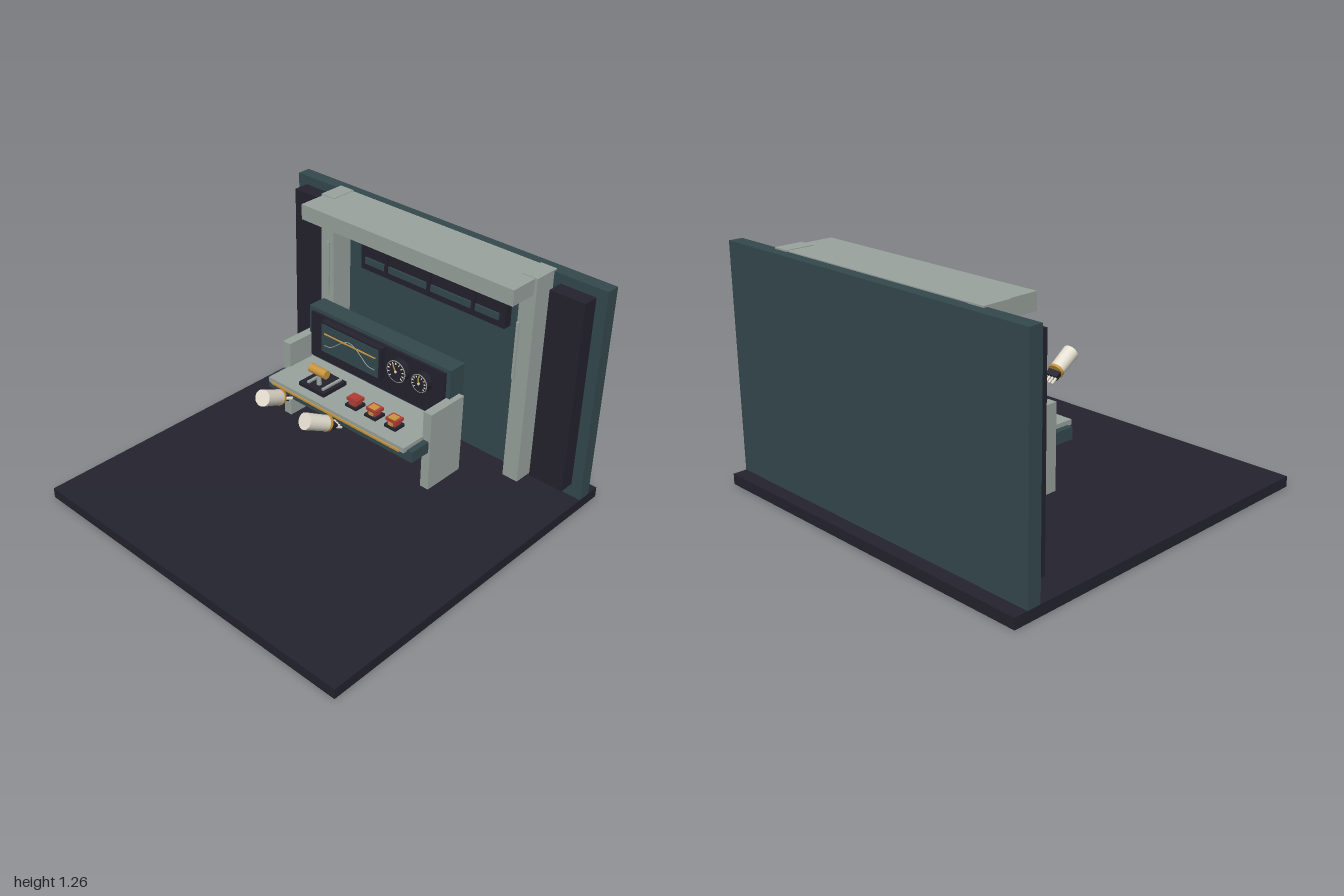
import * as THREE from 'three';

const paint = (name, color) => {
  const m = new THREE.MeshStandardMaterial({ color });
  m.name = name;
  return m;
};

export function createModel() {
  const root = new THREE.Group();
  root.name = 'controlRoom';
  const dark = paint('charcoal', 0x24232e);
  const teal = paint('deepTeal', 0x34494e);
  const grey = paint('paleGrey', 0x9aa39e);
  const amber = paint('amber', 0xc9963f);
  const red = paint('red', 0xb23e34);
  const cream = paint('cream', 0xe4dfd0);

  const add = (name, geo, mat, parent = root) => {
    const mesh = new THREE.Mesh(geo, mat);
    mesh.name = name;
    parent.add(mesh);
    return mesh;
  };
  // Box from its minimum and maximum on each axis
  const box = (name, mat, x0, x1, y0, y1, z0, z1, parent = root) => {
    const mesh = add(name, new THREE.BoxGeometry(x1 - x0, y1 - y0, z1 - z0), mat, parent);
    mesh.position.set((x0 + x1) / 2, (y0 + y1) / 2, (z0 + z1) / 2);
    return mesh;
  };
  // Left and right copies of a box
  const pair = (name, mat, x0, x1, ...rest) => {
    box(name + 'Left', mat, x0, x1, ...rest);
    box(name + 'Right', mat, -x1, -x0, ...rest);
  };

  // Room shell
  box('floor', dark, -1, 1, 0, 0.057, -0.975, 0.975);
  box('backWall', teal, -1, 1, 0.057, 1.25, -0.9, -0.825);
  pair('sidePanel', dark, 0.74, 0.94, 0.13, 1.2, -0.83, -0.737);
  pair('pillar', grey, 0.608, 0.7, 0.09, 1.258, -0.845, -0.692);
  pair('pillarStrip', grey, 0.62, 0.636, 0.69, 1.01, -0.675, -0.667);
  box('lintel', grey, -0.685, 0.685, 1.17, 1.255, -0.84, -0.53);

  // Wall window with bars
  box('windowPanel', dark, -0.48, 0.48, 0.87, 1.138, -0.83, -0.775);
  box('windowRail', teal, -0.445, 0.445, 0.91, 0.947, -0.78, -0.765);
  for (const x of [-0.29, 0, 0.29]) box('windowBar', dark, x - 0.009, x + 0.009, 0.89, 1.11, -0.78, -0.755);

  // Console body
  pair('consoleSide', grey, 0.455, 0.505, 0.2, 0.64, -0.45, -0.207);
  box('consoleBase', teal, -0.495, 0.495, 0.42, 0.482, -0.475, -0.085);
  box('desktop', grey, -0.463, 0.463, 0.475, 0.503, -0.45, -0.058);
  box('deskTrim', amber, -0.44, 0.44, 0.474, 0.485, -0.06, -0.051);
  box('consoleCabinet', teal, -0.475, 0.475, 0.5, 0.8, -0.48, -0.375);
  box('instrumentPanel', dark, -0.45, 0.45, 0.52, 0.78, -0.38, -0.36);

  // Screen with an amber line and a bell curve
  box('screenBezel', dark, -0.345, 0.07, 0.595, 0.775, -0.362, -0.322);
  box('screen', teal, -0.335, 0.058, 0.605, 0.765, -0.324, -0.318);
  box('screenLine', amber, -0.312, 0.04, 0.712, 0.718, -0.319, -0.312);
  const bell = [[-0.312, 0.645], [-0.27, 0.65], [-0.22, 0.685], [-0.18, 0.715], [-0.138, 0.73],
    [-0.095, 0.715], [-0.055, 0.685], [-0.01, 0.65], [0.04, 0.645]];
  const path = new THREE.CatmullRomCurve3(bell.map(([x, y]) => new THREE.Vector3(x, y, -0.316)));
  add('screenCurve', new THREE.TubeGeometry(path, 40, 0.0025, 5), grey);

  // Round gauges facing forward
  const gauge = (x, y, r, angle) => {
    const g = new THREE.Group();
    g.name = 'gauge';
    g.position.set(x, y, -0.34);
    root.add(g);
    const body = add('gaugeFace', new THREE.CylinderGeometry(r, r, 0.04, 28), dark, g);
    body.rotation.x = Math.PI / 2;
    add('gaugeRim', new THREE.TorusGeometry(r - 0.002, 0.003, 6, 32), grey, g).position.z = 0.018;
    for (let i = 0; i < 11; i++) {
      const a = -0.7 + (i / 10) * (Math.PI + 1.4);
      const tick = add('gaugeTick', new THREE.BoxGeometry(r * 0.2, 0.005, 0.004), cream, g);
      tick.position.set(Math.cos(a) * r * 0.78, Math.sin(a) * r * 0.78, 0.021);
      tick.rotation.z = a;
    }
    const needle = add('gaugeNeedle', new THREE.BoxGeometry(0.006, r * 0.7, 0.004), amber, g);
    needle.position.set(-Math.sin(angle) * r * 0.3, Math.cos(angle) * r * 0.3, 0.022);
    needle.rotation.z = angle;
    const hub = add('gaugeHub', new THREE.CylinderGeometry(0.007, 0.007, 0.006, 12), cream, g);
    hub.rotation.x = Math.PI / 2;
    hub.position.z = 0.022;
  };
  gauge(0.175, 0.693, 0.06, 0.5);
  gauge(0.325, 0.69, 0.05, 0.1);

  // Throttle lever between two rails
  box('leverBase', dark, -0.295, -0.12, 0.5, 0.525, -0.28, -0.112);
  for (const x of [-0.251, -0.148]) box('leverRail', grey, x - 0.007, x + 0.007, 0.52, 0.535, -0.268, -0.132);
  add('leverStem', new THREE.CylinderGeometry(0.011, 0.014, 0.075, 14), grey).position.set(-0.203, 0.56, -0.165);
  const grip = add('leverGrip', new THREE.CylinderGeometry(0.024, 0.024, 0.11, 20), amber);
  grip.rotation.z = Math.PI / 2;
  grip.position.set(-0.203, 0.602, -0.165);

  // Guarded switches
  [0.045, 0.175, 0.305].forEach((x, i) => {
    box('switchBase', dark, x - 0.037, x + 0.037, 0.5, 0.518, -0.205, -0.135);
    box('switchBody', red, x - 0.024, x + 0.024, 0.515, 0.54, -0.192, -0.145);
    box('switchGuard', red, x - 0.034, x + 0.034, 0.538, 0.555, -0.2, -0.143);
    box('switchLight', i ? amber : red, x - 0.022, x + 0.022, 0.553, 0.559, -0.188, -0.146);
    box('switchFront', i ? amber : red, x - 0.014, x + 0.014, 0.52, 0.537, -0.147, -0.14);
  });

  // Forearms reaching down toward the desk, built along +y then aimed
  for (const side of [-1, 1]) {
    const arm = new THREE.Group();
    arm.name = side > 0 ? 'leftArm' : 'rightArm';
    const start = new THREE.Vector3(side * 0.143, 0.677, 0.285);
    const aim = new THREE.Vector3(side * 0.03, -0.1, -0.2).normalize();
    arm.position.copy(start);
    arm.quaternion.setFromUnitVectors(new THREE.Vector3(0, 1, 0), aim);
    root.add(arm);
    const ring = (name, mat, r0, r1, y0, y1) =>
      add(name, new THREE.CylinderGeometry(r1, r0, y1 - y0, 24), mat, arm).position.set(0, (y0 + y1) / 2, 0);
    ring('sleeve', cream, 0.042, 0.039, 0, 0.135);
    ring('cuff', amber, 0.041, 0.041, 0.135, 0.15);
    box('palm', dark, -0.032, 0.032, 0.148, 0.188, -0.014, 0.014, arm);
    for (let i = 0; i < 4; i++) {
      const finger = add('finger', new THREE.CapsuleGeometry(0.007, 0.035, 4, 8), cream, arm);
      finger.position.set(-0.026 + i * 0.0173, 0.203, 0);
    }
    const thumb = add('thumb', new THREE.CapsuleGeometry(0.008, 0.025, 4, 8), cream, arm);
    thumb.position.set(-side * 0.036, 0.178, 0);
    thumb.rotation.z = side * 0.4;
  }
  return root;
}
